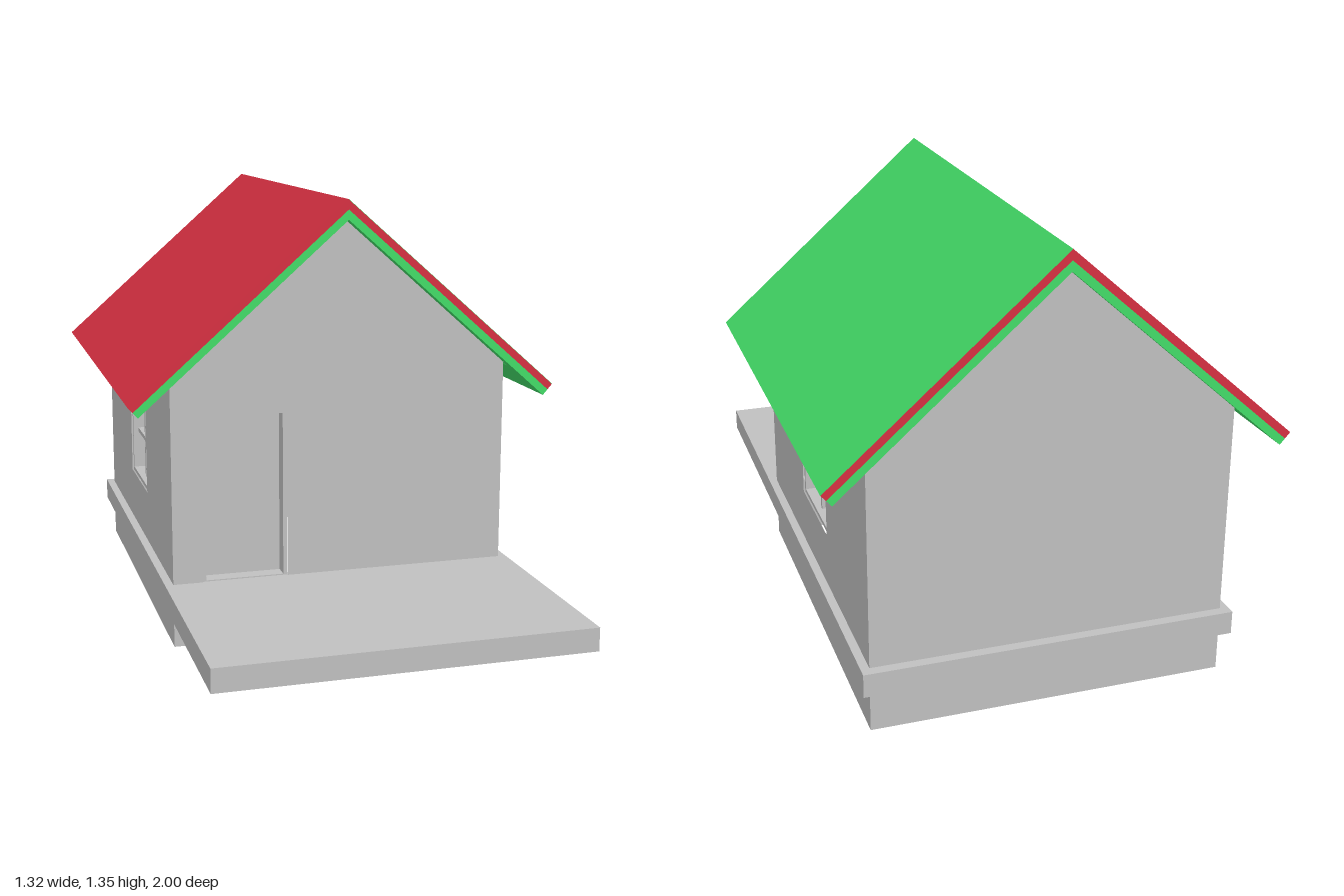
import * as THREE from 'three';

export function createModel() {
  const house = new THREE.Group();
  const material = (name, color) => {
    const m = new THREE.MeshStandardMaterial({ color, side: THREE.DoubleSide });
    m.name = name;
    return m;
  };
  const grey = material('plain grey', 0xc0c0c0);
  const red = material('roof red', 0xd63042);
  const green = material('roof green', 0x43dc68);

  const add = (parent, name, geometry, mat, x = 0, y = 0, z = 0) => {
    const mesh = new THREE.Mesh(geometry, mat);
    mesh.name = name;
    mesh.position.set(x, y, z);
    parent.add(mesh);
    return mesh;
  };
  const polygon = (pts) => new THREE.Shape(pts.map(([x, y]) => new THREE.Vector2(x, y)));
  const rect = (x0, y0, x1, y1) => polygon([[x0, y0], [x1, y0], [x1, y1], [x0, y1]]);
  const extrude = (shape, depth) => new THREE.ExtrudeGeometry(shape, { depth, bevelEnabled: false });

  // Main sizes
  const W = 0.525, FRONT = 0.33, BACK = -0.925, EAVE = 0.854, RIDGE = 1.315;
  const midZ = (FRONT + BACK) / 2, halfZ = (FRONT - BACK) / 2;

  // Thin wall with an optional recessed opening; local +z faces outward
  function wall(name, shape, opening) {
    const g = new THREE.Group();
    g.name = name;
    house.add(g);
    if (opening) {
      const { x0, y0, x1, y1, muntins } = opening;
      const t = 0.012, cx = (x0 + x1) / 2, cy = (y0 + y1) / 2, w = x1 - x0, h = y1 - y0;
      shape.holes.push(rect(x0, y0, x1, y1));
      const ring = rect(x0, y0, x1, y1);
      ring.holes.push(rect(x0 + t, y0 + t * (muntins ? 1 : 0.3), x1 - t, y1 - t));
      add(g, 'frame', extrude(ring, 0.055), grey, 0, 0, -0.06);
      add(g, muntins ? 'windowPane' : 'doorPanel', new THREE.BoxGeometry(w, h, 0.008), grey, cx, cy, -0.056);
      if (muntins) {
        add(g, 'uprightMuntin', new THREE.BoxGeometry(0.014, h - t, 0.03), grey, cx, cy, -0.037);
        add(g, 'crossMuntin', new THREE.BoxGeometry(w - t, 0.014, 0.03), grey, cx, cy, -0.037);
      }
    }
    add(g, 'wallFace', new THREE.ShapeGeometry(shape), grey);
    return g;
  }

  // Gable walls
  const gable = () => polygon([[-W, 0], [W, 0], [W, EAVE], [0, RIDGE], [-W, EAVE]]);
  wall('frontWall', gable(), { x0: -0.435, y0: 0.197, x1: -0.17, y1: 0.718 }).position.z = FRONT;
  const rear = wall('backWall', gable());
  rear.position.z = BACK;
  rear.rotation.y = Math.PI;

  // Side walls, each with a four-pane window
  for (const s of [1, -1]) {
    const u = -0.01 * s;
    const side = wall(s > 0 ? 'leftWall' : 'rightWall', rect(-halfZ, 0, halfZ, EAVE),
      { x0: u - 0.157, y0: 0.363, x1: u + 0.157, y1: 0.65, muntins: true });
    side.position.set(s * W, 0, midZ);
    side.rotation.y = s * Math.PI / 2;
  }

  // Floor ledge round the house, running out to a front porch
  const floor = rect(-0.55, -1, 0.55, 0.955);
  floor.holes.push(rect(-0.5, -0.305, 0.5, 0.9));
  const porch = extrude(floor, 0.07);
  porch.rotateX(-Math.PI / 2);
  add(house, 'porchAndLedge', porch, grey, 0, 0.127, 0);

  // Roof cross-sections, d measured inward from the top of the slope
  const topY = (x, d) => 1.345 - d / 0.751 - 0.879 * Math.abs(x);
  const eave = (s, d) => [s * (0.66 - 0.66 * d), 0.765 - 0.751 * d];
  const ridge = (d) => [0, topY(0, d)];
  const chevron = (d0, d1) =>
    polygon([eave(-1, d0), ridge(d0), eave(1, d0), eave(1, d1), ridge(d1), eave(-1, d1)]);
  const T = 0.0225, Z0 = -1, Z1 = 0.4, RIM = 0.045;

  // Upper layer, with the left slope faced in green
  add(house, 'upperRoof', extrude(chevron(0.001, T), Z1 - Z0), red, 0, 0, Z0);
  add(house, 'greenSlope',
    extrude(polygon([ridge(0), eave(1, 0), eave(1, 0.001), ridge(0.001)]), Z1 - Z0), green, 0, 0, Z0);
  add(house, 'redSlope',
    extrude(polygon([ridge(0), eave(-1, 0), eave(-1, 0.001), ridge(0.001)]), Z1 - Z0), red, 0, 0, Z0);

  // Lower layer: a rim under the overhang, open over the rooms
  for (const [name, z] of [['frontRoofRim', Z1 - RIM], ['backRoofRim', Z0]])
    add(house, name, extrude(chevron(T, 2 * T), RIM), green, 0, 0, z);
  for (const s of [1, -1]) {
    const x = 0.53;
    const bar = polygon([[s * x, topY(x, T)], eave(s, T), eave(s, 2 * T), [s * x, topY(x, 2 * T)]]);
    add(house, s > 0 ? 'leftEaveRim' : 'rightEaveRim',
      extrude(bar, Z1 - Z0 - 2 * RIM), green, 0, 0, Z0 + RIM);
  }

  return house;
}
